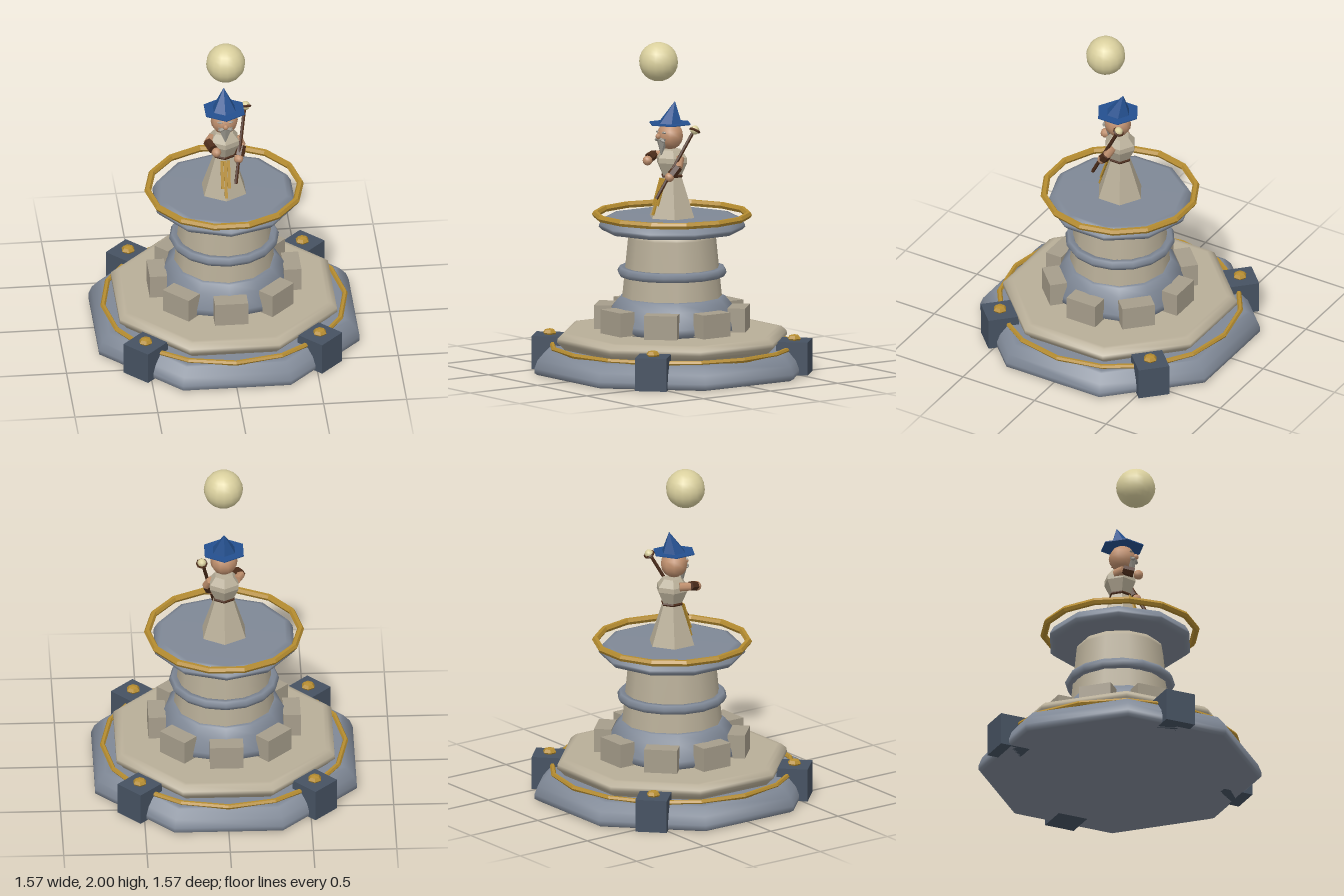
import * as THREE from 'three';

const mat = (name, color, extra = {}) => {
  const m = new THREE.MeshStandardMaterial({ color, ...extra });
  m.name = name;
  return m;
};

export function createModel() {
  const flat = { flatShading: true };
  const slate = mat('slate stone', 0x7f8896);
  const cream = mat('cream stone', 0xb8ae98);
  const robeMat = cream;
  const blockMat = mat('block stone', 0xa69d8b, flat);
  const postMat = mat('dark slate', 0x465262, flat);
  const gold = mat('gold', 0xb58c30, flat);
  const blue = mat('hat blue', 0x24508f, { flatShading: true, side: THREE.DoubleSide });
  const skin = mat('skin', 0xc0906e);
  const brown = mat('brown', 0x4d2d1b, flat);
  const pale = mat('pale glow', 0xdad09e);
  const grey = mat('beard grey', 0x9a978e, flat);

  const root = new THREE.Group();
  root.name = 'wizardMonument';

  const add = (name, geo, material, x = 0, y = 0, z = 0, parent = root) => {
    const mesh = new THREE.Mesh(geo, material);
    mesh.name = name;
    mesh.position.set(x, y, z);
    parent.add(mesh);
    return mesh;
  };
  // Solid of revolution from [radius, height] pairs, bottom to top
  const turned = (name, profile, sides, material, start = 0) => add(name,
    new THREE.LatheGeometry(profile.map(([r, y]) => new THREE.Vector2(r, y)), sides, start), material);
  const faceted = (name, profile, sides, material) => {
    const mesh = turned(name, profile, sides, material);
    const g = mesh.geometry.toNonIndexed();
    g.computeVertexNormals();
    mesh.geometry = g;
    return mesh;
  };
  const hoop = (name, radius, tube, sides, y, material) => {
    const mesh = add(name, new THREE.TorusGeometry(radius, tube, 6, sides), material, 0, y, 0);
    mesh.rotation.x = Math.PI / 2;
    return mesh;
  };
  // Tapered rod between two points
  const rod = (name, a, b, r0, r1, material, sides = 6) => {
    const p = new THREE.Vector3(...a), q = new THREE.Vector3(...b);
    const d = q.clone().sub(p);
    const mesh = add(name, new THREE.CylinderGeometry(r1, r0, d.length(), sides), material);
    mesh.position.copy(p).addScaledVector(d, 0.5);
    mesh.quaternion.setFromUnitVectors(new THREE.Vector3(0, 1, 0), d.normalize());
    return mesh;
  };
  const ball = (name, r, p, material, w = 10, h = 8) => add(name, new THREE.SphereGeometry(r, w, h), material, ...p);

  // Stepped octagonal base
  const e = Math.PI / 8;
  turned('baseSlab', [[0, 0], [0.83, 0], [0.85, 0.012], [0.85, 0.04], [0.83, 0.09], [0.785, 0.14], [0.76, 0.145], [0, 0.145]], 8, slate, e);
  turned('upperStep', [[0.66, 0.14], [0.68, 0.165], [0.71, 0.19], [0.708, 0.215], [0.675, 0.243], [0.65, 0.245], [0, 0.245]], 8, cream, e);
  hoop('baseGoldBand', 0.73, 0.016, 16, 0.152, gold);

  // Corner posts with gold studs
  for (const sx of [-1, 1]) for (const sz of [-1, 1]) {
    const post = new THREE.Group();
    post.name = 'cornerPost';
    post.position.set(0.525 * sx, 0, 0.525 * sz);
    root.add(post);
    add('postBlock', new THREE.BoxGeometry(0.19, 0.2, 0.19), postMat, 0, 0.1, 0, post).rotation.y = Math.PI / 4;
    const stud = add('postStud', new THREE.SphereGeometry(0.043, 6, 4), gold, 0, 0.21, 0, post);
    stud.scale.y = 0.6;
    stud.rotation.y = Math.PI / 6;
  }

  // Ring of battlement blocks
  for (let i = 0; i < 8; i++) {
    const a = i * Math.PI / 4;
    add('battlementBlock', new THREE.BoxGeometry(0.2, 0.145, 0.105), blockMat,
      0.405 * Math.sin(a), 0.325, 0.405 * Math.cos(a)).rotation.y = a;
  }

  // Pedestal column
  turned('columnFoot', [[0.36, 0.245], [0.395, 0.265], [0.39, 0.3], [0.36, 0.4], [0.32, 0.448], [0.3, 0.452], [0.2, 0.452]], 12, slate);
  turned('column', [[0.302, 0.44], [0.3, 0.46], [0.265, 0.81], [0.262, 0.825], [0.245, 0.845], [0.2, 0.86]], 12, cream);
  hoop('columnBand', 0.3, 0.031, 16, 0.603, slate);
  turned('topDisc', [[0, 0.85], [0.4, 0.85], [0.42, 0.852], [0.44, 0.872], [0.437, 0.885], [0.415, 0.925], [0.385, 0.932], [0, 0.932]], 10, slate);
  hoop('topGoldBand', 0.46, 0.021, 14, 0.945, gold);

  // Robe and torso, with a ridge facing forward
  faceted('robe', [[0.147, 0.93], [0.06, 1.185]], 6, robeMat);
  faceted('torso', [[0.06, 1.18], [0.1, 1.265], [0.098, 1.295], [0.06, 1.34], [0, 1.345]], 6, robeMat);
  hoop('belt', 0.061, 0.01, 6, 1.183, brown).rotation.z = Math.PI / 6;
  const sash = new THREE.Group();
  sash.name = 'sash';
  sash.position.set(0, 1.17, 0.068);
  sash.rotation.x = -Math.atan2(0.087, 0.255);
  root.add(sash);
  [[-0.02, 0.17], [0, 0.23], [0.02, 0.17]].forEach(([x, len]) =>
    add('sashStrip', new THREE.BoxGeometry(0.018, len, 0.009), gold, x, -len / 2, 0, sash));

  // Head, face and beard
  ball('head', 0.082, [0, 1.425, 0.015], skin);
  ball('nose', 0.017, [0, 1.428, 0.102], skin, 6, 5);
  for (const s of [-1, 1]) {
    const tache = ball('moustache', 0.026, [0.022 * s, 1.408, 0.09], grey, 6, 4);
    tache.scale.set(1, 0.45, 0.6);
    tache.rotation.z = -0.35 * s;
    const brow = ball('eyebrow', 0.02, [0.03 * s, 1.452, 0.082], grey, 6, 4);
    brow.scale.set(1, 0.35, 0.5);
  }
  const beard = add('beard', new THREE.ConeGeometry(0.05, 0.11, 6), grey, 0, 1.36, 0.075);
  beard.rotation.x = Math.PI - 0.12;
  beard.scale.z = 0.7;

  // Pointed hat leaning backward
  add('hatBrim', new THREE.CylinderGeometry(0.135, 0.135, 0.006, 6), blue, 0, 1.5, 0.015);
  const cone = new THREE.ConeGeometry(0.076, 0.13, 6);
  const p = cone.attributes.position;
  for (let i = 0; i < p.count; i++) p.setZ(i, p.getZ(i) - 0.035 * (p.getY(i) / 0.13 + 0.5));
  add('hatCone', cone, blue, 0, 1.567, 0.013);

  // Left arm gripping the staff
  rod('leftUpperArm', [0.08, 1.3, 0], [0.105, 1.245, 0.03], 0.027, 0.026, skin);
  rod('leftBracer', [0.103, 1.25, 0.028], [0.086, 1.2, 0.064], 0.028, 0.031, brown);
  ball('leftHand', 0.029, [0.08, 1.187, 0.078], skin, 8, 6);

  // Right arm raised forward
  rod('rightUpperArm', [-0.075, 1.3, 0], [-0.105, 1.3, 0.06], 0.027, 0.026, skin);
  rod('rightBracer', [-0.105, 1.303, 0.055], [-0.078, 1.287, 0.115], 0.028, 0.031, brown);
  ball('rightHand', 0.03, [-0.06, 1.277, 0.138], skin, 8, 6);

  // Staff with a glowing orb in a collar
  rod('staff', [0.056, 1.06, 0.157], [0.13, 1.455, -0.062], 0.011, 0.011, brown);
  ball('staffOrb', 0.028, [0.136, 1.468, -0.07], pale, 8, 6);
  const collar = add('staffCollar', new THREE.TorusGeometry(0.028, 0.008, 5, 8), brown, 0.136, 1.465, -0.07);
  collar.rotation.x = 1.05;

  // Floating orb
  ball('floatingOrb', 0.118, [0, 1.882, 0.1], pale, 16, 12);

  return root;
}
